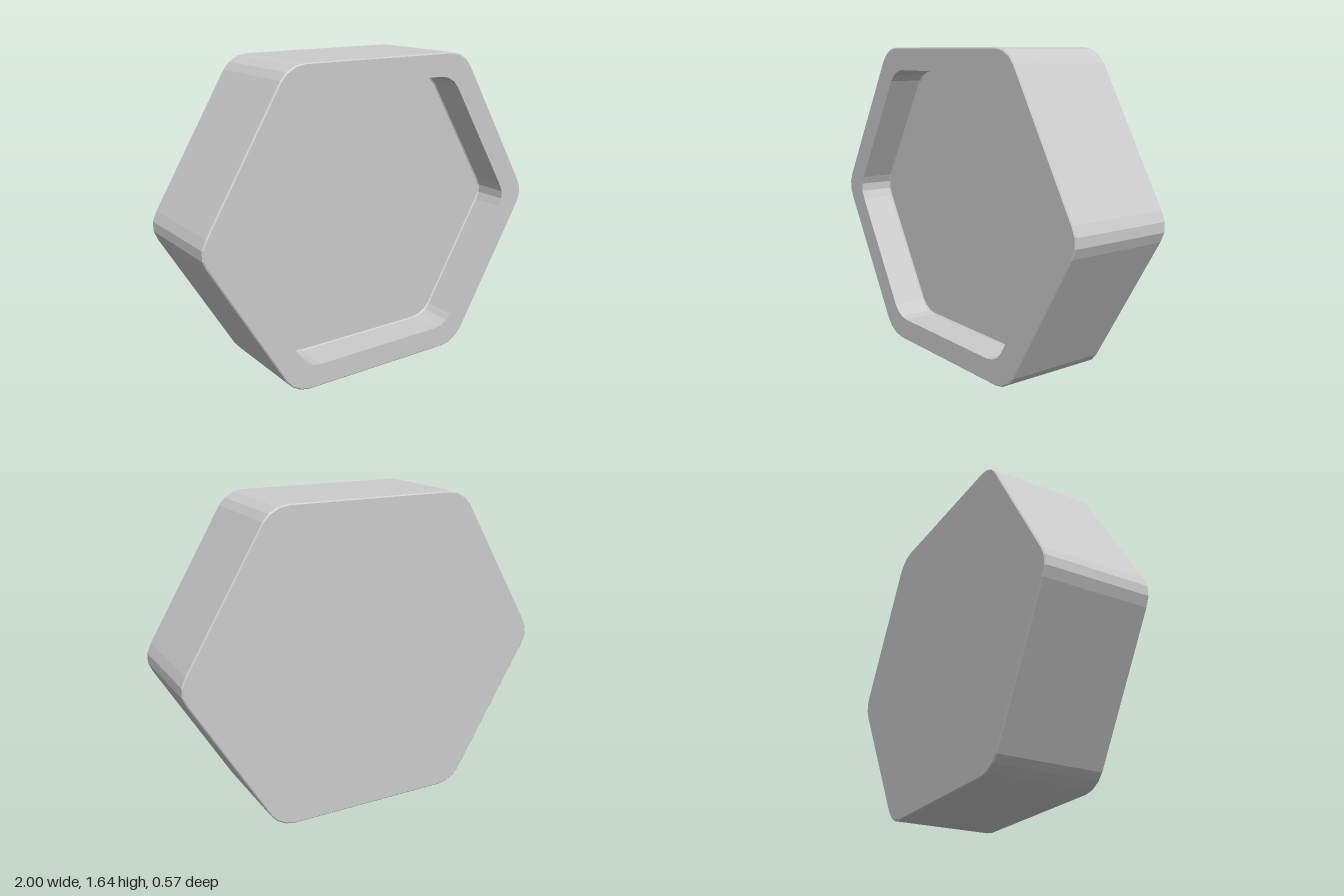
import * as THREE from 'three';

const CENTER_Y = 0.8225;

// One quadrant of the rounded hexagon, from the side corner up to the top edge
const QUADRANT = [[1, 0.0255], [0.978, 0.0755], [0.577, 0.7495], [0.545, 0.786], [0.497, 0.813], [0.444, 0.8225]];

// Full outline, counter-clockwise seen from the front
function hexOutline() {
  const mirrored = [...QUADRANT].reverse();
  return [
    ...QUADRANT,
    ...mirrored.map(([x, y]) => [-x, y]),
    ...QUADRANT.map(([x, y]) => [-x, -y]),
    ...mirrored.map(([x, y]) => [x, -y]),
  ];
}

// Joins scaled outlines [scale, z] into one faceted skin, optionally capped
function loft(sections, { capStart = false, capEnd = false } = {}) {
  const outline = hexOutline();
  const n = outline.length;
  const pos = [];
  const at = ([s, z], i) => [outline[i % n][0] * s, outline[i % n][1] * s, z];
  const tri = (...corners) => corners.forEach((c) => pos.push(...c));
  for (let i = 0; i < n; i++) {
    for (let k = 0; k < sections.length - 1; k++) {
      const a = at(sections[k], i), b = at(sections[k], i + 1);
      const c = at(sections[k + 1], i + 1), d = at(sections[k + 1], i);
      tri(a, b, c);
      tri(a, c, d);
    }
    const first = sections[0], last = sections[sections.length - 1];
    if (capStart) tri([0, 0, first[1]], at(first, i + 1), at(first, i));
    if (capEnd) tri([0, 0, last[1]], at(last, i), at(last, i + 1));
  }
  const geometry = new THREE.BufferGeometry();
  geometry.setAttribute('position', new THREE.Float32BufferAttribute(pos, 3));
  geometry.computeVertexNormals();
  return geometry;
}

export function createModel() {
  const group = new THREE.Group();
  group.name = 'hexagonalTray';
  const grey = new THREE.MeshStandardMaterial({ color: 0xcccccc, flatShading: true });
  grey.name = 'light grey';

  const add = (name, geometry) => {
    const mesh = new THREE.Mesh(geometry, grey);
    mesh.name = name;
    mesh.position.y = CENTER_Y;
    group.add(mesh);
  };

  // Solid back, outer walls with fine bevels, and the flat front rim
  add('outerShell', loft(
    [[0.993, -0.285], [1, -0.279], [1, 0.279], [0.993, 0.285], [0.853, 0.285]],
    { capStart: true },
  ));

  // Recess walls, small fillet and floor
  add('recess', loft(
    [[0.853, 0.285], [0.853, 0.101], [0.846, 0.095]],
    { capEnd: true },
  ));

  return group;
}
